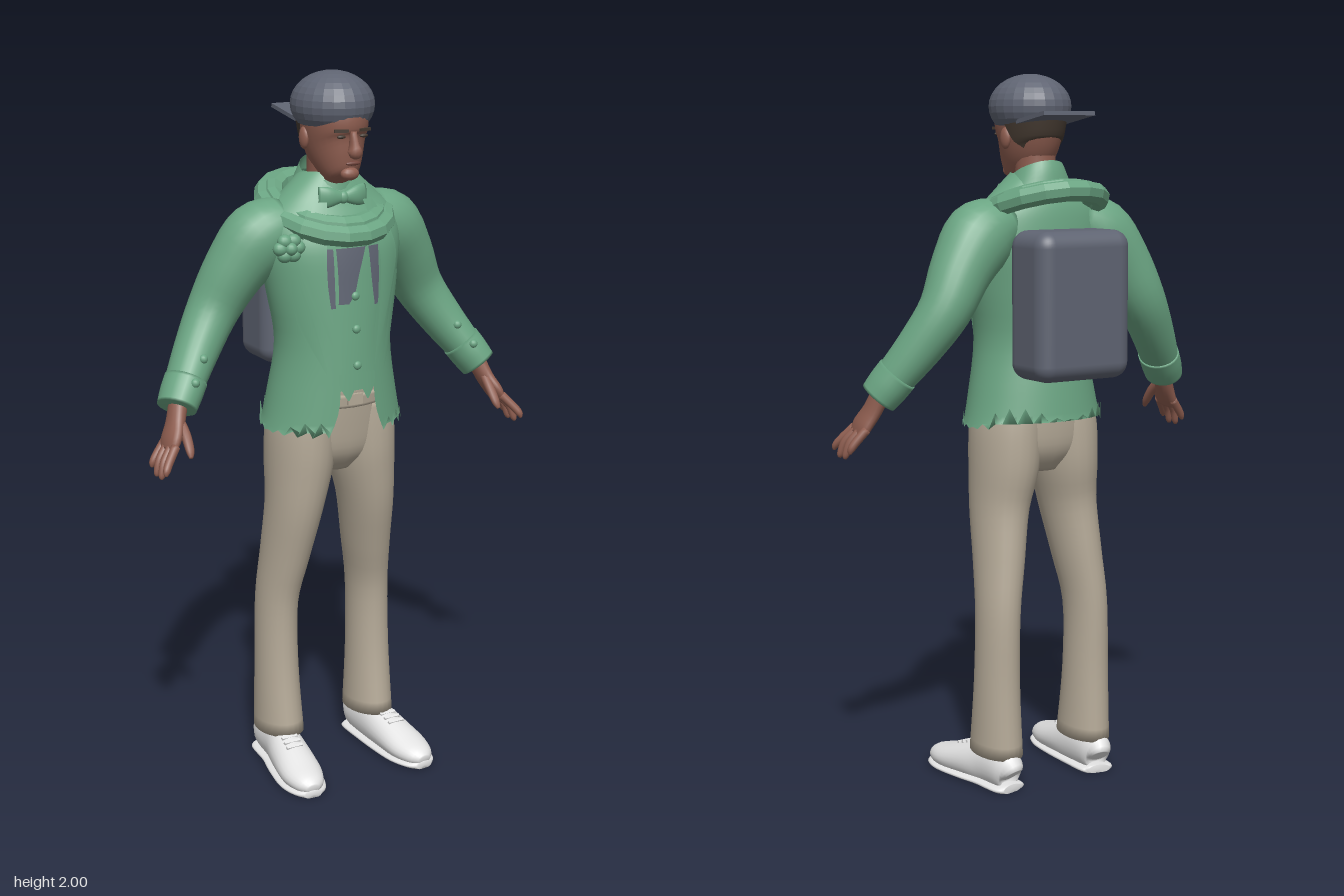
import * as THREE from 'three';
import { RoundedBoxGeometry } from 'three/addons/geometries/RoundedBoxGeometry.js';

const mat = (name, color, side = THREE.FrontSide) => {
  const m = new THREE.MeshStandardMaterial({ color, side });
  m.name = name;
  return m;
};

// Catmull-Rom subdivision of rows of numbers
function smooth(rows, k = 4) {
  const out = [], at = i => rows[Math.min(Math.max(i, 0), rows.length - 1)];
  for (let i = 0; i < rows.length - 1; i++)
    for (let s = 0; s < k; s++) {
      const t = s / k, p = [at(i - 1), at(i), at(i + 1), at(i + 2)];
      out.push(rows[0].map((_, c) => {
        const [a, b, d, e] = p.map(r => r[c]);
        return b + 0.5 * t * (d - a + t * (2 * a - 5 * b + 4 * d - e + t * (3 * (b - d) + e - a)));
      }));
    }
  out.push(rows[rows.length - 1]);
  return out;
}

// Skin over elliptical sections [x, y, z, radiusA, radiusB, frontGap]; an open gap leaves a slit
function loft(rows, { n = 24, ref = [0, 0, 1], open = false, caps = true, tweak } = {}) {
  const R = smooth(rows), pos = [], idx = [], cols = open ? n + 1 : n;
  const C = R.map(r => new THREE.Vector3(r[0], r[1], r[2])), v = new THREE.Vector3();
  R.forEach((r, i) => {
    const T = C[Math.min(i + 1, R.length - 1)].clone().sub(C[Math.max(i - 1, 0)]).normalize();
    const B = new THREE.Vector3(...ref).addScaledVector(T, -T.dot(new THREE.Vector3(...ref))).normalize();
    const A = B.clone().cross(T), g = open ? r[5] : 0;
    for (let j = 0; j < cols; j++) {
      const q = Math.PI / 2 + g + (2 * Math.PI - 2 * g) * j / n;
      v.copy(C[i]).addScaledVector(A, r[3] * Math.cos(q)).addScaledVector(B, r[4] * Math.sin(q));
      if (tweak) tweak(v, j, i);
      pos.push(v.x, v.y, v.z);
    }
  });
  for (let i = 0; i < R.length - 1; i++)
    for (let j = 0; j < n; j++) {
      const a = i * cols + j, b = i * cols + (j + 1) % cols, c = a + cols, d = b + cols;
      idx.push(a, b, d, a, d, c);
    }
  if (caps && !open) [0, R.length - 1].forEach(i => {
    const k = pos.length / 3;
    v.copy(C[i]);
    if (tweak) tweak(v, 0, i);
    pos.push(v.x, v.y, v.z);
    for (let j = 0; j < n; j++) {
      const a = i * n + j, b = i * n + (j + 1) % n;
      idx.push(k, ...(i ? [a, b] : [b, a]));
    }
  });
  const geo = new THREE.BufferGeometry();
  geo.setAttribute('position', new THREE.Float32BufferAttribute(pos, 3));
  geo.setIndex(idx);
  geo.computeVertexNormals();
  return geo;
}

const flat = geo => { const f = geo.toNonIndexed(); f.computeVertexNormals(); return f; };

// Jacket sections, bottom to top
const JACKET = [
  [0, 1.03, .02, .208, .163, .43], [0, 1.12, .024, .188, .156, .3], [0, 1.27, .03, .166, .143, .33],
  [0, 1.42, .022, .19, .139, .45], [0, 1.54, .012, .21, .135, .5], [0, 1.62, 0, .19, .115, .5],
  [0, 1.675, -.002, .135, .092, .5], [0, 1.73, -.005, .075, .07, .5]];
const DENSE = smooth(JACKET);

// Depth of the chest surface at a given x and y
function chestZ(x, y) {
  const i = Math.max(1, DENSE.findIndex(r => r[1] >= y)), p = DENSE[i - 1], q = DENSE[i];
  const t = (y - p[1]) / (q[1] - p[1]), m = c => p[c] + (q[c] - p[c]) * t;
  return m(2) + m(4) * Math.sqrt(Math.max(0, 1 - (x / m(3)) ** 2));
}

// Thin panel laid on the chest from rows [y, xLeft, xRight], top to bottom
function patch(rows, lift) {
  const R = smooth(rows, 3), pos = [], idx = [], n = 6;
  R.forEach(([y, a, b], i) => {
    for (let k = 0; k <= n; k++) {
      const x = a + (b - a) * k / n, o = i * (n + 1) + k;
      pos.push(x, y, chestZ(x, y) + lift);
      if (i < R.length - 1 && k < n) idx.push(o, o + n + 1, o + n + 2, o, o + n + 2, o + 1);
    }
  });
  const geo = new THREE.BufferGeometry();
  geo.setAttribute('position', new THREE.Float32BufferAttribute(pos, 3));
  geo.setIndex(idx);
  geo.computeVertexNormals();
  return geo;
}

export function createModel() {
  const green = mat('jacketGreen', 0x6ba583, THREE.DoubleSide), beige = mat('trouserBeige', 0xb5aa98);
  const skin = mat('skinBrown', 0x8f5e50), grey = mat('slateGrey', 0x5f6472), white = mat('shoeWhite', 0xe4e4e4);
  const hair = mat('hairBrown', 0x453a31, THREE.DoubleSide), lip = mat('lipBrown', 0x74463d);
  const model = new THREE.Group();
  const add = (name, geo, m, x = 0, y = 0, z = 0) => {
    const o = new THREE.Mesh(geo, m);
    o.name = name;
    o.position.set(x, y, z);
    model.add(o);
    return o;
  };
  const ball = (name, m, x, y, z, a, b = a, c = a) => add(name, new THREE.SphereGeometry(1, 14, 10).scale(a, b, c), m, x, y, z);

  // Jacket with ragged hem, waistcoat beneath
  add('jacket', loft(JACKET, { n: 48, open: true, tweak: (v, j, i) => {
    if (!i) v.y += (j % 2) * (.025 + .02 * Math.sin(j * 2.7)) + (v.z < -.05 ? .015 : 0);
  } }), green);
  add('waistcoat', loft(JACKET.slice(1).map(r => [0, Math.max(r[1], 1.16), r[2], r[3] - .012, r[4] - .012]),
    { n: 32, caps: false }), green);
  add('collar', loft([[0, 1.645, 0, .125, .1, .55], [0, 1.69, -.005, .092, .085, .45], [0, 1.73, -.003, .074, .073, .35]],
    { n: 28, open: true, tweak: v => { v.y -= v.z * .4; } }), green);
  add('shirtCollar', loft([[0, 1.66, .0, .085, .08], [0, 1.715, .003, .064, .068]], { caps: false }), green);

  // Bow tie
  ball('bowKnot', green, 0, 1.668, .092, .015, .017, .012);
  for (const s of [-1, 1])
    add('bowWing', loft([[0, 1.668, .09, .012, .01], [s * .04, 1.67, .088, .027, .014], [s * .07, 1.67, .08, .03, .01]]), green);

  // Grey strap pieces and buttons on the waistcoat
  add('strapRight', patch([[1.54, -.088, -.058], [1.45, -.084, -.058], [1.38, -.078, -.058]], -.003), grey);
  add('strapLeft', patch([[1.54, .05, .084], [1.45, .056, .082], [1.38, .064, .078]], -.003), grey);
  add('chestPanel', patch([[1.54, -.05, .04], [1.47, -.048, .015], [1.42, -.048, 0], [1.39, -.05, -.02]], -.003), grey);
  for (const y of [1.22, 1.32, 1.41]) ball('waistcoatButton', green, 0, y, chestZ(0, y) - .004, .012, .012, .008);

  // Scarf roll lying tilted over the shoulders
  [[.163, .029, 0], [.138, .028, .014]].forEach(([r, t, y]) => add('scarfRoll',
    flat(new THREE.TorusGeometry(r, t, 8, 18).rotateX(Math.PI / 2).scale(1, 1, 1.12).rotateX(.31)), green, 0, 1.63 + y, -.015));

  // Buttonhole flower
  for (let i = 0; i < 6; i++) {
    const a = i * Math.PI / 3;
    ball('flowerPetal', green, -.178 + .026 * Math.cos(a), 1.55 + .022 * Math.sin(a), .115, .021, .019, .018);
  }
  ball('flowerCentre', green, -.178, 1.55, .125, .018);

  // Pelvis, belt and buckle
  add('trouserSeat', loft([[0, .9, .01, .07, .07], [0, .96, .012, .165, .112], [0, 1.05, .015, .186, .125],
    [0, 1.17, .022, .165, .13]]), beige);
  add('belt', loft([[0, 1.105, .022, .173, .133], [0, 1.14, .024, .168, .135]], { n: 32 }), beige);
  add('buckle', new THREE.BoxGeometry(.045, .03, .01), beige, 0, 1.122, .158);

  for (const s of [-1, 1]) {
    const L = (name, rows, m, opt) => add(name, loft(rows.map(r => [s * r[0], ...r.slice(1)]), opt), m);
    const P = (name, rows, lift) => add(name, patch(rows.map(([y, a, b]) => s > 0 ? [y, a, b] : [y, -b, -a]), lift), green);

    // Lapel, front seam flap and waistcoat point
    P('lapel', [[1.66, .055, .09], [1.57, .075, .135], [1.5, .083, .15], [1.4, .078, .12], [1.22, .05, .055]], .009);
    P('frontFold', [[1.46, .15, .165], [1.34, .115, .15], [1.2, .085, .09]], .006);
    P('waistcoatPoint', [[1.2, 0, .056], [1.165, .008, .054], [1.125, .028, .032]], .0);

    // Arm
    L('sleeve', [[.12, 1.6, -.01, .07, .08], [.195, 1.56, -.02, .1, .095], [.265, 1.475, -.037, .086, .085],
      [.325, 1.37, -.05, .072, .073], [.39, 1.27, -.022, .062, .065], [.45, 1.182, .018, .052, .06], [.47, 1.15, .033, .048, .056]], green);
    L('cuff', [[.438, 1.2, .01, .057, .064], [.46, 1.167, .025, .056, .064], [.481, 1.135, .04, .052, .06]], green);
    ball('cuffButton', green, s * .402, 1.26, .045, .013);
    ball('cuffButton', green, s * .44, 1.205, .073, .013);

    // Hand
    L('palm', [[.472, 1.155, .035, .026, .03], [.492, 1.1, .055, .023, .036], [.513, 1.06, .073, .02, .045],
      [.525, 1.035, .08, .014, .042]], skin, { n: 16 });
    [[.034, .985, .055], [.012, .968, .04], [-.012, .968, .027], [-.035, .985, .015]].forEach(([dz, y, reach]) =>
      L('finger', [[.518, 1.05, .077 + dz, .013, .012], [.548, 1.015, .08 + dz + reach * .35, .012, .011],
        [.56, y + .012, .08 + dz + reach * .55, .01, .009], [.563, y, .08 + dz + reach * .6, .004, .004]], skin, { n: 10 }));
    L('thumb', [[.485, 1.11, .06, .014, .015], [.483, 1.075, .1, .014, .014], [.485, 1.04, .13, .012, .011],
      [.488, 1.022, .142, .005, .005]], skin, { n: 10 });

    // Trouser leg
    L('trouserLeg', [[.15, .1, -.022, .066, .097], [.152, .3, -.03, .06, .079], [.149, .5, -.031, .058, .078],
      [.132, .65, -.01, .066, .09], [.115, .8, .014, .077, .104], [.1, .92, .014, .091, .121], [.093, 1.02, .015, .094, .124],
      [.085, 1.1, .017, .088, .12]], beige);

    // Shoe with sole and laces
    const shoe = [[.15, .05, -.108, .025, .03], [.152, .06, -.09, .045, .058], [.156, .06, 0, .05, .067], [.166, .05, .08, .058, .055],
      [.177, .036, .17, .06, .04], [.182, .03, .23, .043, .028], [.184, .025, .255, .018, .014]];
    L('shoe', shoe, white, { ref: [0, 1, 0], tweak: v => { v.y = Math.max(v.y, .004); } });
    L('sole', shoe.map(r => [r[0], .01, r[2], r[3] + .007, .013]), white, { ref: [0, 1, 0], tweak: v => { v.y = Math.max(v.y, 0); } });
    [.075, .095, .115].forEach(z => {
      add('lace', new THREE.BoxGeometry(.05, .008, .009), white, s * (.156 + z * .12), .125 - z * .27, z).rotation.x = .35;
    });

    // Ear, eye and brow
    ball('ear', skin, s * .084, 1.825, .025, .012, .03, .02);
    ball('eye', hair, s * .034, 1.837, .14, .013, .005, .006);
    add('brow', new THREE.BoxGeometry(.038, .008, .008), hair, s * .036, 1.853, .143).rotation.y = s * .3;
  }

  // Neck, head and face
  add('neck', loft([[0, 1.62, -.015, .062, .062], [0, 1.72, 0, .056, .058], [0, 1.8, .01, .058, .065]]), skin);
  add('head', loft([[0, 1.716, .092, .022, .028], [0, 1.728, .085, .044, .052], [0, 1.765, .065, .063, .08], [0, 1.815, .042, .079, .106],
    [0, 1.87, .034, .087, .117], [0, 1.92, .03, .083, .11]], { n: 28 }), skin);
  add('nose', loft([[0, 1.785, .145, .012, .008], [0, 1.795, .152, .019, .024], [0, 1.815, .148, .012, .02],
    [0, 1.85, .143, .009, .009]], { n: 12 }), skin);
  ball('mouth', lip, 0, 1.766, .144, .023, .006, .006);
  ball('chin', skin, 0, 1.736, .125, .027, .018, .018);
  add('hair', loft([[0, 1.775, .01, .066, .076, 2.2], [0, 1.81, .022, .082, .098, 1.9], [0, 1.87, .026, .093, .115, 1.6]],
    { open: true }), hair);

  // Cap worn backwards
  const dome = new THREE.SphereGeometry(1, 24, 16), p = dome.attributes.position;
  for (let i = 0; i < p.count; i++) p.setY(i, Math.max(p.getY(i), -.62));
  add('capDome', flat(dome.scale(.111, .089, .125)), grey, 0, 1.911, .03);
  add('capVisor', new THREE.BoxGeometry(.166, .011, .14), grey, 0, 1.88, -.096).rotation.x = .16;

  // Backpack
  add('backpack', new RoundedBoxGeometry(.3, .405, .18, 5, .045), grey, 0, 1.378, -.17);
  return model;
}
